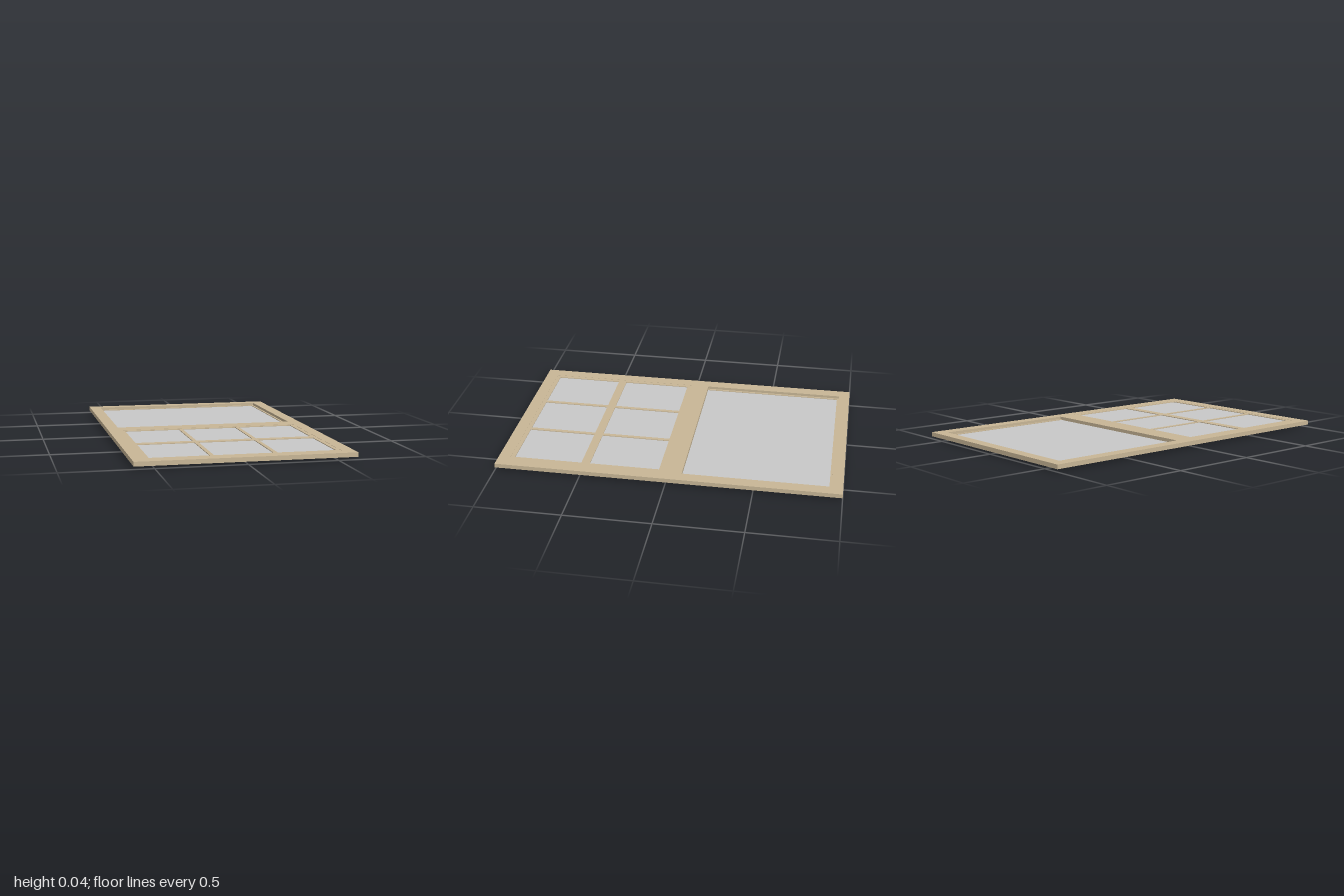
import * as THREE from 'three';

const wood = new THREE.MeshStandardMaterial({ color: 0xc8b696 });
wood.name = 'tan paint';
const glass = new THREE.MeshStandardMaterial({ color: 0xc8c8c8 });
glass.name = 'grey glass';
const metal = new THREE.MeshStandardMaterial({ color: 0xb8b0a2 });
metal.name = 'latch metal';

// Flat slab lying in XZ between two heights; rects are [x0, x1, z0, z1]
function slab(name, material, rect, holes, bottom, top) {
  const outline = (Type, [x0, x1, z0, z1]) => new Type([
    new THREE.Vector2(x0, z0), new THREE.Vector2(x1, z0),
    new THREE.Vector2(x1, z1), new THREE.Vector2(x0, z1),
  ]);
  const shape = outline(THREE.Shape, rect);
  shape.holes = holes.map((h) => outline(THREE.Path, h));
  const geometry = new THREE.ExtrudeGeometry(shape, { depth: top - bottom, bevelEnabled: false });
  geometry.rotateX(Math.PI / 2);
  const mesh = new THREE.Mesh(geometry, material);
  mesh.position.y = top;
  mesh.name = name;
  return mesh;
}

export function createModel() {
  const window_ = new THREE.Group();
  window_.name = 'sashWindow';

  // Outer frame
  window_.add(slab('outerFrame', wood, [-0.61, 0.61, -1, 1], [[-0.54, 0.54, -0.935, 0.93]], 0.015, 0.04));

  // Upper sash: low pane with a thin rim, closed off by the meeting rail
  const upper = new THREE.Group();
  upper.name = 'upperSash';
  upper.add(slab('upperPane', glass, [-0.54, 0.54, -0.935, 0.03], [], 0.016, 0.02));
  upper.add(slab('upperRim', wood, [-0.54, 0.54, -0.935, -0.08], [[-0.527, 0.527, -0.922, -0.085]], 0.018, 0.024));
  upper.add(slab('meetingRail', wood, [-0.54, 0.54, -0.085, 0.02], [], 0.018, 0.04));
  window_.add(upper);

  // Lower sash: raised grid of six panes
  const lower = new THREE.Group();
  lower.name = 'lowerSash';
  const columns = [[-0.515, -0.187], [-0.164, 0.164], [0.187, 0.515]];
  const rows = [[0.05, 0.457], [0.507, 0.905]];
  const openings = rows.flatMap((r) => columns.map((c) => [...c, ...r]));
  lower.add(slab('sashGrid', wood, [-0.54, 0.54, 0.02, 0.93], openings, 0.026, 0.039));
  for (const opening of openings) {
    lower.add(slab('lowerPane', glass, opening, [], 0.03, 0.035));
  }
  window_.add(lower);

  // Latch under the meeting rail: post, base plate and curved lever
  const latch = new THREE.Group();
  latch.name = 'latch';
  const base = new THREE.Mesh(new THREE.BoxGeometry(0.06, 0.008, 0.024), metal);
  base.name = 'latchBase';
  base.position.set(0.01, 0.022, 0.04);
  const post = new THREE.Mesh(new THREE.CylinderGeometry(0.012, 0.012, 0.018, 16), metal);
  post.name = 'latchPost';
  post.position.set(0.01, 0.013, 0.042);
  const lever = new THREE.Shape();
  lever.moveTo(-0.03, 0.012);
  lever.quadraticCurveTo(-0.02, 0, 0.015, 0);
  lever.quadraticCurveTo(0.05, 0, 0.065, 0.012);
  lever.lineTo(0.055, 0.012);
  lever.quadraticCurveTo(0.04, 0.006, 0.015, 0.006);
  lever.quadraticCurveTo(-0.01, 0.006, -0.03, 0.012);
  const handle = new THREE.Mesh(
    new THREE.ExtrudeGeometry(lever, { depth: 0.022, bevelEnabled: false, curveSegments: 8 }), metal);
  handle.name = 'latchLever';
  handle.position.z = 0.032;
  latch.add(base, post, handle);
  window_.add(latch);

  return window_;
}
